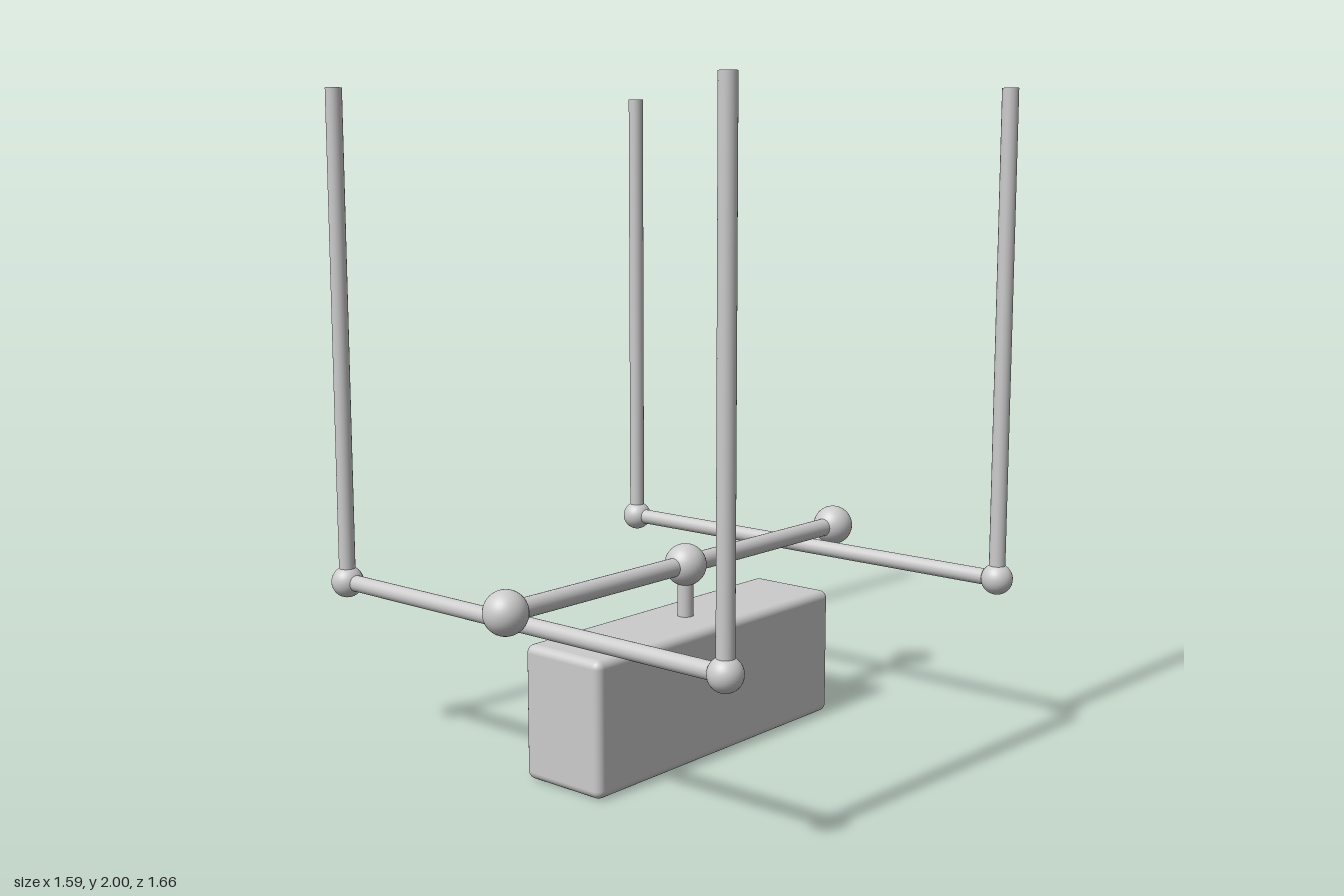
import * as THREE from 'three';
import { RoundedBoxGeometry } from 'three/addons/geometries/RoundedBoxGeometry.js';

export function createModel() {
  const model = new THREE.Group();
  model.name = 'suspendedFrame';
  const material = new THREE.MeshStandardMaterial({ color: 0xcccccc });

  function add(name, geometry, x, y, z) {
    const mesh = new THREE.Mesh(geometry, material);
    mesh.name = name;
    mesh.position.set(x, y, z);
    model.add(mesh);
    return mesh;
  }
  const ball = (name, r, x, y, z) => add(name, new THREE.SphereGeometry(r, 32, 20), x, y, z);
  const bar = (name, r, length, x, y, z) =>
    add(name, new THREE.CylinderGeometry(r, r, length, 24), x, y, z);

  const spineX = 0.045, spineY = 0.565, spineEnd = 0.765, midZ = 0.007;
  const crossX = 0.747, crossY = 0.51, top = 2;

  // Hanging block and the short stem that carries it
  add('block', new RoundedBoxGeometry(0.295, 0.405, 1.096, 4, 0.025), 0.047, 0.2025, 0.009);
  bar('stem', 0.025, 0.18, spineX, 0.475, midZ);

  // Long spine with a ball at each end and one in the middle
  bar('spine', 0.029, spineEnd * 2, spineX, spineY, 0).rotation.x = Math.PI / 2;
  for (const z of [-spineEnd, midZ, spineEnd]) ball('spineBall', 0.065, spineX, spineY, z);

  // Front and back crossbars, each with a ball joint and an upright rod at both ends
  for (const [end, z] of [['front', 0.677], ['back', -0.652]]) {
    bar(end + 'Crossbar', 0.025, crossX * 2, 0, crossY, z).rotation.z = Math.PI / 2;
    for (const [side, x] of [['Left', crossX], ['Right', -crossX]]) {
      ball(end + side + 'Joint', 0.049, x, crossY, z);
      bar(end + side + 'Rod', 0.025, top - crossY, x, (top + crossY) / 2, z);
    }
  }
  return model;
}
